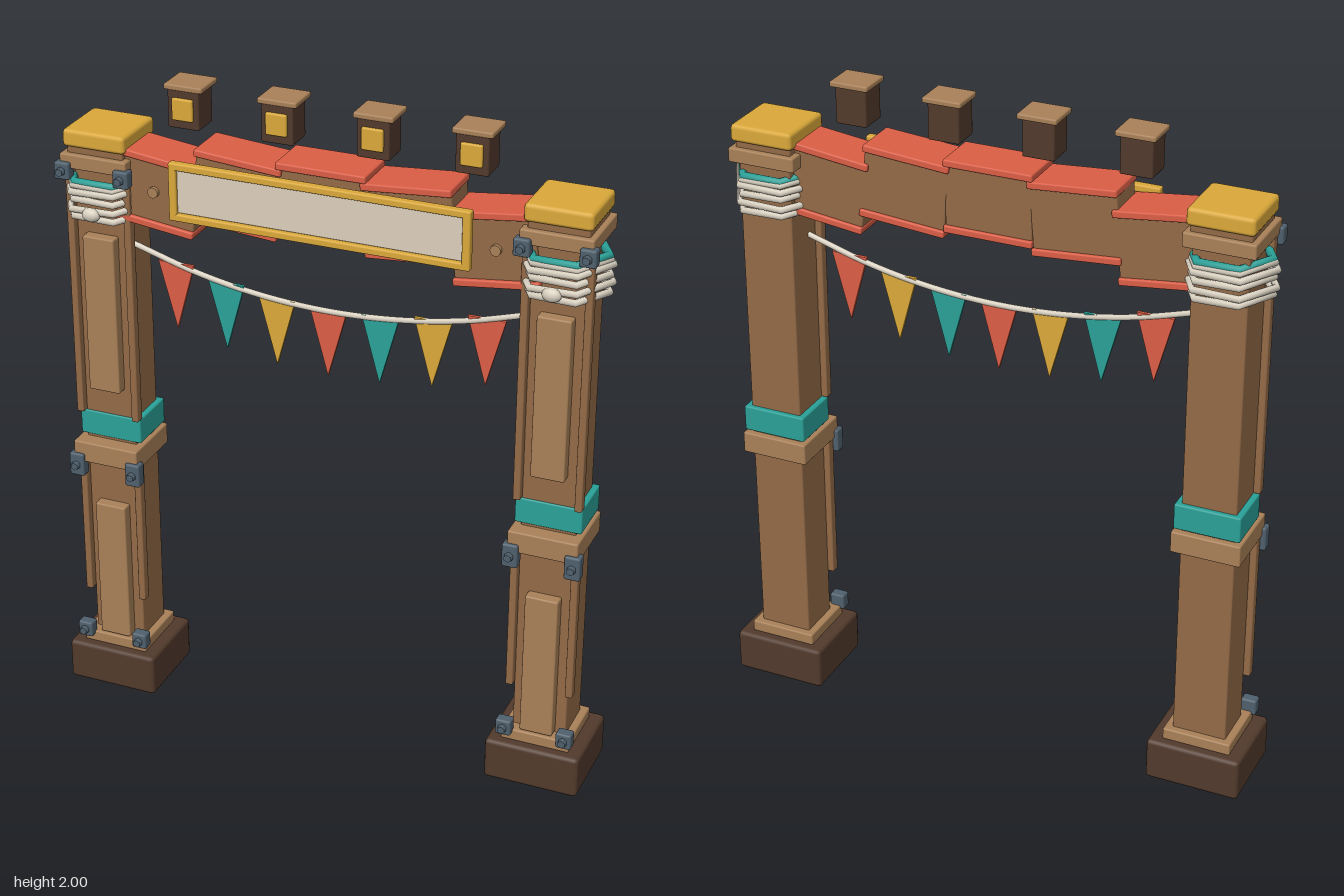
import * as THREE from 'three';
import { RoundedBoxGeometry } from 'three/addons/geometries/RoundedBoxGeometry.js';

const mat = (color) => new THREE.MeshStandardMaterial({ color });
const WOOD = mat(0x936a47), LIGHT = mat(0xa98158), DARK = mat(0x523a2c), RED = mat(0xdb5e45);
const TEAL = mat(0x2aa198), GOLD = mat(0xdba93a), METAL = mat(0x4f606d), ROPE = mat(0xd8d0c0), CREAM = mat(0xddd0bc);

function add(parent, name, geometry, material, x = 0, y = 0, z = 0) {
  const mesh = new THREE.Mesh(geometry, material);
  mesh.name = name;
  mesh.position.set(x, y, z);
  parent.add(mesh);
  return mesh;
}

// Chamfered box given by its limits on each axis
function block(parent, name, material, [x0, x1], [y0, y1], [z0, z1], bevel = 0.005) {
  const w = x1 - x0, h = y1 - y0, d = z1 - z0;
  const r = Math.min(bevel, w * 0.3, h * 0.3, d * 0.3);
  return add(parent, name, new RoundedBoxGeometry(w, h, d, 1, r), material,
    (x0 + x1) / 2, (y0 + y1) / 2, (z0 + z1) / 2);
}

function createPost() {
  const post = new THREE.Group();
  block(post, 'base', DARK, [-0.145, 0.145], [0, 0.132], [-0.138, 0.127], 0.012);
  block(post, 'footCollar', LIGHT, [-0.105, 0.105], [0.13, 0.167], [-0.108, 0.096]);
  block(post, 'shaft', WOOD, [-0.082, 0.082], [0.12, 1.79], [-0.085, 0.057]);
  block(post, 'middleCollar', LIGHT, [-0.105, 0.105], [0.775, 0.842], [-0.106, 0.106]);
  block(post, 'paintedBand', TEAL, [-0.1, 0.1], [0.85, 0.93], [-0.1, 0.062]);
  block(post, 'topCollar', LIGHT, [-0.105, 0.105], [1.722, 1.766], [-0.106, 0.102]);
  block(post, 'capNeck', WOOD, [-0.088, 0.088], [1.76, 1.79], [-0.09, 0.085]);
  block(post, 'cap', GOLD, [-0.098, 0.098], [1.784, 1.837], [-0.103, 0.095], 0.012);

  // Raised front panels and corner battens
  for (const [y0, y1] of [[0.17, 0.63], [1.02, 1.515]])
    block(post, 'frontPanel', LIGHT, [-0.05, 0.05], [y0, y1], [0.05, 0.091]);
  for (const s of [-1, 1])
    for (const [y0, y1] of [[0.31, 0.78], [0.93, 1.73]])
      block(post, 'cornerBatten', WOOD, [s * 0.091 - 0.011, s * 0.091 + 0.011], [y0, y1], [0.05, 0.08], 0.004);

  // Metal plates with bolt heads
  for (const s of [-1, 1])
    for (const [y, h] of [[0.18, 0.05], [0.766, 0.074], [1.717, 0.052]]) {
      const x = s * 0.093;
      block(post, 'plate', METAL, [x - 0.024, x + 0.024], [y - h / 2, y + h / 2], [0.08, 0.117], 0.006);
      const bolt = add(post, 'bolt', new THREE.CylinderGeometry(0.012, 0.014, 0.016, 6), METAL, x, y, 0.124);
      bolt.rotation.x = Math.PI / 2;
    }

  // Rope lashing over a cloth ring
  const ring = (name, material, y, radius, tube, tilt) => {
    const g = new THREE.TorusGeometry(radius, tube, 8, 6);
    g.rotateX(Math.PI / 2);
    add(post, name, g, material, 0, y, 0).rotation.z = tilt;
  };
  ring('clothRing', TEAL, 1.685, 0.118, 0.014, 0);
  [1.582, 1.608, 1.634, 1.66, 1.677].forEach((y, i) =>
    ring('ropeTurn', ROPE, y, i % 2 ? 0.132 : 0.124, 0.011, i % 2 ? 0.02 : -0.02));
  const knot = add(post, 'ropeKnot', new THREE.SphereGeometry(0.026, 12, 8), ROPE, 0, 1.6, 0.122);
  knot.scale.set(1.1, 0.8, 0.7);
  return post;
}

// One beam length with red planks above and below
function createBeamSegment(x, y, width, tilt) {
  const g = new THREE.Group();
  g.name = 'beamSegment';
  const w = width / 2;
  block(g, 'beamBlock', WOOD, [-w, w], [-0.094, 0.094], [-0.06, 0.068]);
  block(g, 'topPlank', RED, [-w - 0.003, w + 0.003], [0.088, 0.11], [-0.07, 0.08]);
  block(g, 'bottomPlank', RED, [-w - 0.003, w + 0.003], [-0.11, -0.088], [-0.07, 0.08]);
  g.position.set(x, y, 0);
  g.rotation.z = tilt;
  return g;
}

function createSign() {
  const sign = new THREE.Group();
  sign.name = 'sign';
  block(sign, 'signBoard', CREAM, [-0.43, 0.43], [1.64, 1.775], [0.082, 0.096], 0.003);
  for (const y of [1.628, 1.781])
    block(sign, 'signRail', GOLD, [-0.45, 0.45], [y - 0.011, y + 0.011], [0.08, 0.107]);
  for (const s of [-1, 1]) {
    block(sign, 'signStile', GOLD, [s * 0.438 - 0.012, s * 0.438 + 0.012], [1.62, 1.79], [0.08, 0.107]);
    block(sign, 'signSpacer', CREAM, [s * 0.41 - 0.015, s * 0.41 + 0.015], [1.68, 1.73], [0.05, 0.085]);
  }
  return sign;
}

function createLantern(x) {
  const g = new THREE.Group();
  g.name = 'lantern';
  block(g, 'lanternBody', DARK, [-0.048, 0.048], [1.872, 1.988], [-0.046, 0.044]);
  block(g, 'lanternCap', LIGHT, [-0.059, 0.059], [1.983, 2], [-0.06, 0.047]);
  block(g, 'lanternWindow', GOLD, [-0.032, 0.032], [1.898, 1.963], [0.03, 0.054]);
  g.position.x = x;
  return g;
}

// Sagging string with triangular flags
function createGarland() {
  const g = new THREE.Group();
  g.name = 'garland';
  const sag = (x) => 1.378 + 0.1 * (x / 0.6) ** 2;
  const points = [-0.62, -0.4, -0.2, 0, 0.2, 0.4, 0.62].map((x) => new THREE.Vector3(x, sag(x), 0));
  add(g, 'string', new THREE.TubeGeometry(new THREE.CatmullRomCurve3(points), 32, 0.009, 8), ROPE);
  const flag = new THREE.Shape([[-0.056, 0], [0, -0.205], [0.056, 0]].map((p) => new THREE.Vector2(...p)));
  const geometry = new THREE.ExtrudeGeometry(flag, { depth: 0.01, bevelEnabled: false });
  geometry.translate(0, 0, -0.005);
  const colours = [RED, TEAL, GOLD];
  for (let i = 0; i < 7; i++) {
    const x = (i - 3) * 0.1585;
    add(g, 'flag', geometry, colours[i % 3], x, sag(x) + 0.004, 0);
  }
  g.position.z = 0.015;
  return g;
}

export function createModel() {
  const model = new THREE.Group();
  model.name = 'entranceGate';
  for (const s of [-1, 1]) {
    const post = createPost();
    post.name = s < 0 ? 'rightPost' : 'leftPost';
    post.position.x = s * 0.69;
    model.add(post);
    model.add(createBeamSegment(s * 0.505, 1.678, 0.245, s * 0.12));
    model.add(createBeamSegment(s * 0.258, 1.712, 0.26, s * 0.08));
    const peg = add(model, 'beamPeg', new THREE.CylinderGeometry(0.016, 0.016, 0.02, 12), LIGHT, s * 0.513, 1.68, 0.07);
    peg.rotation.x = Math.PI / 2;
  }
  model.add(createBeamSegment(0, 1.722, 0.264, 0));
  model.add(createSign(), createGarland());
  for (const x of [-0.427, -0.142, 0.142, 0.427]) model.add(createLantern(x));
  return model;
}
